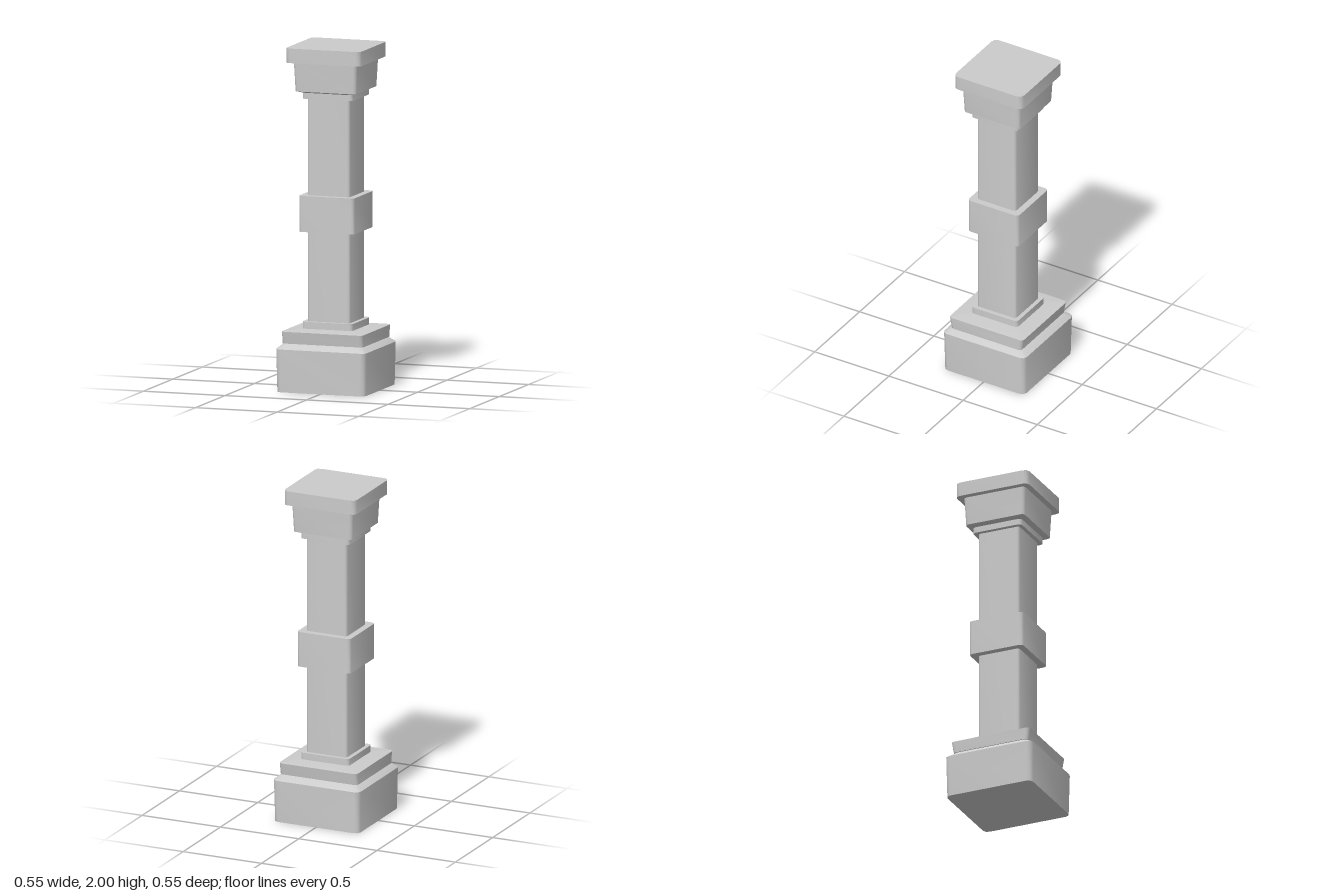
import * as THREE from 'three';
import { toCreasedNormals } from 'three/addons/utils/BufferGeometryUtils.js';

const material = new THREE.MeshStandardMaterial({ color: 0xcccccc });

// Outline of a square with softened corners (three points per corner), counter-clockwise from above
function outline(halfX, halfZ, radius) {
  const points = [];
  for (let corner = 0; corner < 4; corner++) {
    const middle = Math.PI / 4 + corner * Math.PI / 2;
    const cx = Math.sign(Math.cos(middle)) * (halfX - radius);
    const cz = Math.sign(Math.sin(middle)) * (halfZ - radius);
    for (let i = -1; i <= 1; i++) {
      const a = middle + i * Math.PI / 4;
      points.push([cx + radius * Math.cos(a), -(0) + cz + radius * Math.sin(a)]);
    }
  }
  return points;
}

// Closed block lofted through rings of [y, halfX, halfZ]
function block(name, radius, rings) {
  const positions = [];
  const loops = rings.map(([y, hx, hz = hx]) =>
    outline(hx, hz, radius).map(([x, z]) => [x, y, z]));
  const n = loops[0].length;
  const tri = (a, b, c) => positions.push(...a, ...b, ...c);
  const bottom = [0, rings[0][0], 0];
  const top = [0, rings[rings.length - 1][0], 0];
  for (let i = 0; i < n; i++) {
    const j = (i + 1) % n;
    for (let k = 0; k < loops.length - 1; k++) {
      const lower = loops[k], upper = loops[k + 1];
      tri(lower[i], upper[i], upper[j]);
      tri(lower[i], upper[j], lower[j]);
    }
    tri(bottom, loops[0][i], loops[0][j]);
    tri(top, loops[loops.length - 1][j], loops[loops.length - 1][i]);
  }
  const geometry = new THREE.BufferGeometry();
  geometry.setAttribute('position', new THREE.Float32BufferAttribute(positions, 3));
  const mesh = new THREE.Mesh(toCreasedNormals(geometry, 0.8), material);
  mesh.name = name;
  return mesh;
}

export function createModel() {
  const pillar = new THREE.Group();
  pillar.name = 'pillar';
  pillar.add(
    // Pedestal with a bevelled shoulder
    block('pedestal', 0.03, [[0, 0.272], [0.25, 0.277], [0.28, 0.243, 0.238]]),
    // Plinth, flaring upward on the front and back, with a gently sloped top
    block('plinth', 0.02, [[0.28, 0.248, 0.237], [0.35, 0.249], [0.36, 0.155]]),
    block('lowerCollar', 0.02, [[0.355, 0.155], [0.4, 0.155]]),
    block('shaft', 0.015, [[0.39, 0.13], [1.71, 0.13]]),
    block('middleBand', 0.02, [[0.925, 0.17], [1.135, 0.17]]),
    block('upperCollar', 0.02, [[1.7, 0.155], [1.74, 0.155]]),
    // Capital, widening slightly toward the top slab
    block('capital', 0.02, [[1.735, 0.155], [1.745, 0.187], [1.915, 0.195]]),
    block('topSlab', 0.03, [[1.915, 0.23], [2, 0.23]])
  );
  return pillar;
}
